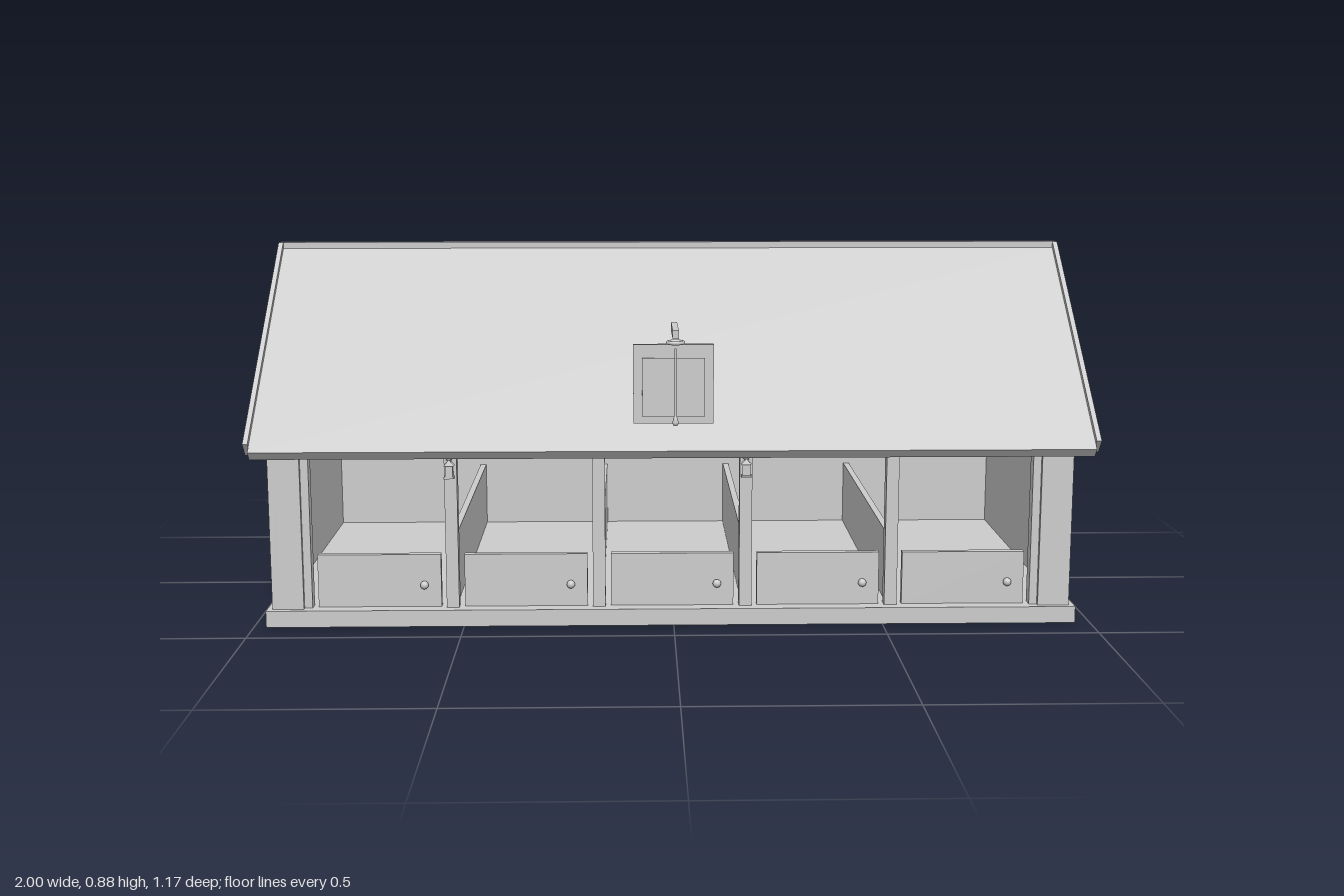
import * as THREE from 'three';

export function createModel() {
  const root = new THREE.Group();
  root.name = 'stable';
  const grey = new THREE.MeshStandardMaterial({ color: 0xcccccc });
  grey.name = 'plain grey';

  const add = (name, geometry, x = 0, y = 0, z = 0) => {
    const mesh = new THREE.Mesh(geometry, grey);
    mesh.name = name;
    mesh.position.set(x, y, z);
    root.add(mesh);
    return mesh;
  };
  // Box given by its limits on each axis
  const box = (name, x0, x1, y0, y1, z0, z1) =>
    add(name, new THREE.BoxGeometry(x1 - x0, y1 - y0, z1 - z0),
      (x0 + x1) / 2, (y0 + y1) / 2, (z0 + z1) / 2);
  // Outline in (z, y) extruded along x from x0 to x1
  const slab = (name, points, x0, x1) => {
    const shape = new THREE.Shape(points.map(([z, y]) => new THREE.Vector2(-z, y)));
    const g = new THREE.ExtrudeGeometry(shape, { depth: x1 - x0, bevelEnabled: false });
    g.rotateY(Math.PI / 2);
    return add(name, g, x0, 0, 0);
  };

  const CX = -0.003;      // middle of the walls
  const RIDGE = -0.0614;  // z of the ridge
  const FRONT = 0.4, BACK = -0.527, FLOOR = 0.04;
  const SLOPE = 0.86;
  const under = z => 0.845 - SLOPE * Math.abs(z - RIDGE);

  // Plinth and closed walls
  box('base', -0.97, 0.964, 0, FLOOR, -0.541, 0.415);
  box('backWall', -0.957, 0.951, FLOOR, under(BACK), BACK, BACK + 0.02);
  const gable = [[FRONT, FLOOR], [FRONT, under(FRONT)], [RIDGE, under(RIDGE)],
    [BACK, under(BACK)], [BACK, FLOOR]];
  slab('rightGable', gable, -0.957, -0.937);
  slab('leftGable', gable, 0.931, 0.951);

  // Front: end panels, header and posts
  box('frontEndPanel', -0.957, -0.882, FLOOR, 0.45, 0.38, FRONT);
  box('frontEndPanel', 0.876, 0.951, FLOOR, 0.45, 0.38, FRONT);
  box('header', -0.937, 0.931, 0.415, 0.45, 0.375, 0.395);

  const PITCH = 0.35;
  for (let i = 0; i < 6; i++) {
    const x = CX + (i - 2.5) * PITCH;
    box('post', x - 0.015, x + 0.015, FLOOR, 0.45, 0.36, 0.39);
    // Low partitions between the stalls
    if (i > 0 && i < 5) box('partition', x - 0.008, x + 0.008, FLOOR, 0.21, BACK + 0.02, 0.36);
  }

  // Half doors with round knobs
  for (let i = 0; i < 5; i++) {
    const x = CX + (i - 2) * PITCH;
    box('stallDoor', x - 0.147, x + 0.147, FLOOR, 0.168, 0.362, 0.38);
    add('doorKnob', new THREE.SphereGeometry(0.01, 16, 10), x + 0.107, 0.094, 0.385);
  }

  // Lanterns on two posts
  for (const x of [-0.53, 0.172]) {
    box('lanternBody', x - 0.009, x + 0.009, 0.36, 0.388, 0.39, 0.405);
    box('lanternFoot', x - 0.012, x + 0.012, 0.357, 0.362, 0.39, 0.408);
    const cap = add('lanternCap', new THREE.ConeGeometry(0.017, 0.014, 4), x, 0.395, 0.398);
    cap.rotation.y = Math.PI / 4;
    add('lanternRing', new THREE.TorusGeometry(0.007, 0.0015, 6, 16), x, 0.406, 0.397);
  }

  // Roof cross-section: both slopes, square-cut eaves, flat ridge
  const roofOutline = (low, high, span, flat) => {
    const cut = (high - low) * 0.5;
    const half = [[flat, high - SLOPE * flat], [span, high - SLOPE * span],
      [span - cut * 0.98, low - SLOPE * (span - cut * 0.98)]];
    return [...half.map(([d, y]) => [RIDGE + d, y]), [RIDGE, low],
      ...half.slice().reverse().map(([d, y]) => [RIDGE - d, y])];
  };
  slab('roof', roofOutline(0.848, 0.882, 0.523, 0.017), -0.988, 0.988);
  const barge = roofOutline(0.843, 0.897, 0.518, 0.017);
  slab('rightBargeBoard', barge, -1, -0.988);
  slab('leftBargeBoard', barge, 0.988, 1);
  box('ridgeCap', -0.988, 0.988, 0.85, 0.883, RIDGE - 0.017, RIDGE + 0.017);

  // Loft hatch with hoist beam, pulley, rope and hook
  box('hatchFrame', -0.095, 0.093, 0.49, 0.676, 0.4, 0.417);
  box('hatchPanel', -0.074, 0.072, 0.506, 0.645, 0.415, 0.423);
  box('hoistBeam', -0.007, 0.007, 0.71, 0.729, 0.422, 0.58);
  const pulley = add('pulley', new THREE.TorusGeometry(0.017, 0.0045, 10, 28), 0, 0.7, 0.566);
  pulley.rotation.x = Math.PI / 2;
  add('rope', new THREE.CylinderGeometry(0.0025, 0.0025, 0.155, 8), 0, 0.609, 0.566);
  const hook = [[0, 0.51], [0.006, 0.512], [0.007, 0.519], [0.004, 0.53], [0, 0.54]];
  add('hook', new THREE.LatheGeometry(hook.map(p => new THREE.Vector2(...p)), 14), 0, 0, 0.566);

  return root;
}
